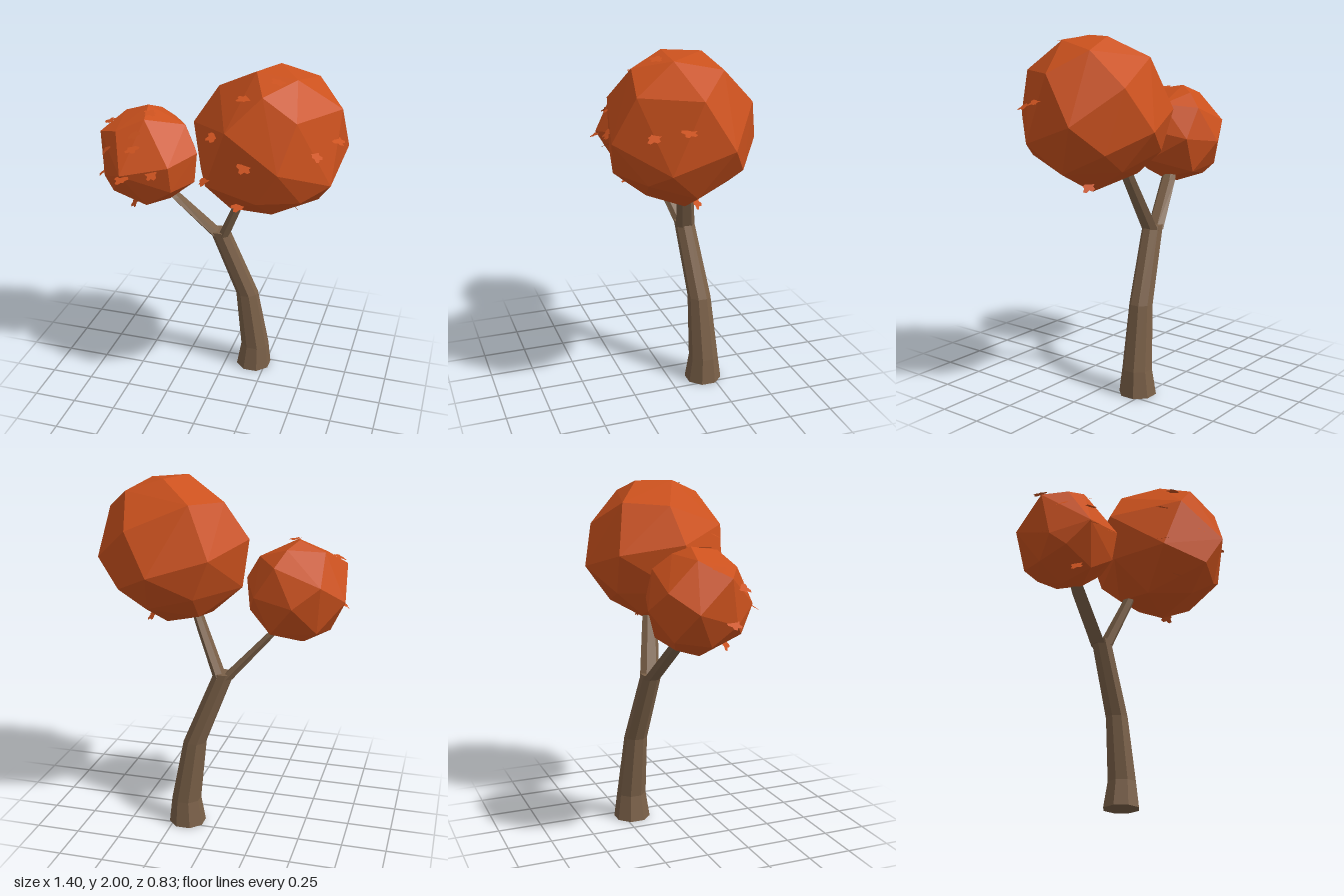
import * as THREE from 'three';
import { ConvexGeometry } from 'three/addons/geometries/ConvexGeometry.js';

const bark = new THREE.MeshStandardMaterial({ color: 0x7a6048, flatShading: true });
bark.name = 'bark brown';
const foliage = new THREE.MeshStandardMaterial({ color: 0xcb511d, flatShading: true });
foliage.name = 'autumn orange';
const leafMat = new THREE.MeshStandardMaterial({ color: 0xcb521f, side: THREE.DoubleSide });
leafMat.name = 'leaf orange';

// Faceted limb through horizontal rings [x, y, z, radiusX, radiusZ]
function limb(name, rings, sides) {
  const pos = [], idx = [], n = rings.length;
  for (const [x, y, z, rx, rz] of rings) {
    for (let i = 0; i < sides; i++) {
      const a = ((i + 0.5) / sides) * Math.PI * 2;
      const k = 1 / Math.cos(Math.PI / sides);
      pos.push(x + Math.cos(a) * rx * k, y, z + Math.sin(a) * rz * k);
    }
  }
  for (let r = 0; r < n - 1; r++) {
    for (let i = 0; i < sides; i++) {
      const a = r * sides + i, b = r * sides + ((i + 1) % sides);
      idx.push(a, a + sides, b, b, a + sides, b + sides);
    }
  }
  const top = (n - 1) * sides;
  for (let i = 1; i < sides - 1; i++) {
    idx.push(0, i, i + 1, top, top + i + 1, top + i);
  }
  const g = new THREE.BufferGeometry();
  g.setAttribute('position', new THREE.Float32BufferAttribute(pos, 3));
  g.setIndex(idx);
  g.computeVertexNormals();
  const mesh = new THREE.Mesh(g, bark);
  mesh.name = name;
  return mesh;
}

// Small jagged leaf outline
function leafGeometry() {
  const s = new THREE.Shape();
  const radii = [1, 0.95, 0.6, 0.9, 0.95, 0.55, 0.85, 0.9, 0.6, 1, 0.95, 0.6, 0.8, 0.6];
  radii.forEach((r, i) => {
    const a = (i / radii.length) * Math.PI * 2;
    const x = Math.cos(a) * r * 0.046, y = Math.sin(a) * r * 0.04;
    if (i) s.lineTo(x, y); else s.moveTo(x, y);
  });
  return new THREE.ShapeGeometry(s);
}

// Irregular faceted ball spanned by its corners, with leaves lying on it.
// Corners and leaf directions are measured from the crown's centre.
function crown(name, centre, corners, leaves) {
  const group = new THREE.Group();
  group.name = name;
  group.position.set(...centre);
  const ball = new THREE.Mesh(
    new ConvexGeometry(corners.map((c) => new THREE.Vector3(...c))), foliage);
  ball.name = name + 'Foliage';
  group.add(ball);
  const leafGeo = leafGeometry();
  const ray = new THREE.Raycaster();
  leaves.forEach((d, i) => {
    const dir = new THREE.Vector3(...d).normalize();
    ray.set(dir.clone().multiplyScalar(3), dir.clone().negate());
    const hit = ray.intersectObject(ball)[0];
    const leaf = new THREE.Mesh(leafGeo, leafMat);
    leaf.name = 'leaf';
    leaf.position.copy(hit.point).addScaledVector(hit.face.normal, 0.012);
    leaf.lookAt(leaf.position.clone().add(hit.face.normal).add(group.position));
    leaf.rotateZ(i * 1.3);
    leaf.rotateX(0.2 * Math.sin(i * 2.1));
    group.add(leaf);
  });
  return group;
}

export function createModel() {
  const tree = new THREE.Group();
  tree.name = 'tree';

  // Leaning trunk and its fork
  tree.add(limb('trunk', [
    [0.175, 0, -0.2, 0.099, 0.099],
    [0.18, 0.15, -0.2, 0.079, 0.079],
    [0.128, 0.515, -0.188, 0.062, 0.062],
    [-0.035, 0.935, -0.15, 0.055, 0.054],
  ], 8));
  tree.add(limb('rightBranch', [
    [-0.055, 0.91, -0.155, 0.034, 0.046],
    [-0.28, 1.155, -0.085, 0.024, 0.043],
    [-0.35, 1.23, -0.06, 0.02, 0.03],
  ], 6));
  tree.add(limb('leftBranch', [
    [-0.008, 0.91, -0.15, 0.03, 0.05],
    [0.115, 1.2, -0.098, 0.025, 0.042],
    [0.16, 1.32, -0.08, 0.02, 0.035],
  ], 6));

  // Large crown: upper, middle and lower corners
  tree.add(crown('largeCrown', [0.28, 1.585, 0], [
    [-0.048, 0.413, 0.086], [0.038, 0.41, -0.105], [0.24, 0.345, -0.15], [0.17, 0.39, 0.092],
    [0.03, 0.34, 0.27], [-0.145, 0.3, -0.25], [-0.28, 0.285, -0.02],
    [0.395, 0.23, 0.01], [0.216, 0.232, 0.3], [0.188, 0.16, -0.333],
    [-0.145, 0.16, 0.35], [-0.413, 0.08, 0.02], [-0.27, 0.02, -0.315],
    [0.415, -0.03, -0.154], [0.148, -0.01, 0.413], [0.046, -0.07, -0.415],
    [0.38, -0.14, 0.168], [-0.26, -0.16, 0.31], [0.03, -0.2, 0.375],
    [-0.375, -0.195, 0.02], [-0.18, -0.2, -0.3], [0.26, -0.18, -0.26],
    [0.24, -0.22, 0.25], [-0.17, -0.335, -0.15], [0.1, -0.285, -0.25],
    [0.29, -0.3, 0], [0.08, -0.325, 0.21], [-0.18, -0.375, 0.1], [0.06, -0.42, -0.015],
  ], [
    [-0.08, 0.33, 0.24], [-0.25, 0.12, 0.31], [-0.03, 0, 0.41], [0.32, 0.05, 0.25],
    [-0.25, -0.13, 0.3], [-0.1, -0.3, 0.27], [0.08, 0.38, 0.15], [0.4, 0.085, 0.085],
    [0.14, -0.39, -0.05],
  ]));

  // Small crown: upper, middle and lower corners
  tree.add(crown('smallCrown', [-0.412, 1.41, -0.035], [
    [-0.02, 0.288, -0.045], [0.015, 0.26, 0.12], [0.03, 0.25, -0.13],
    [-0.165, 0.235, -0.07], [-0.14, 0.19, 0.16], [0.195, 0.19, -0.05],
    [0.08, 0.17, -0.22], [-0.265, 0.15, 0.08], [-0.17, 0.08, -0.23],
    [0.28, 0.05, 0.01], [0.18, 0.03, 0.22], [-0.08, -0.02, 0.285],
    [-0.285, -0.02, -0.105], [0.19, 0, -0.215], [-0.03, -0.03, -0.285],
    [-0.235, -0.1, 0.125], [0.26, -0.13, 0], [0.18, -0.13, 0.18], [-0.16, -0.16, 0.18],
    [-0.195, -0.21, 0], [0.1, -0.2, -0.2], [-0.15, -0.18, -0.19], [-0.08, -0.235, -0.155],
    [0.03, -0.23, 0.17], [0.115, -0.25, 0], [-0.035, -0.29, 0],
  ], [
    [-0.24, 0.2, 0.02], [0.02, 0.28, 0.05], [-0.03, 0.21, 0.19], [-0.03, 0.14, 0.25],
    [-0.2, 0.09, 0.18], [-0.07, -0.03, 0.28], [0.1, 0, 0.26], [-0.25, -0.09, 0.1],
    [-0.05, -0.24, 0.15],
  ]));
  return tree;
}
